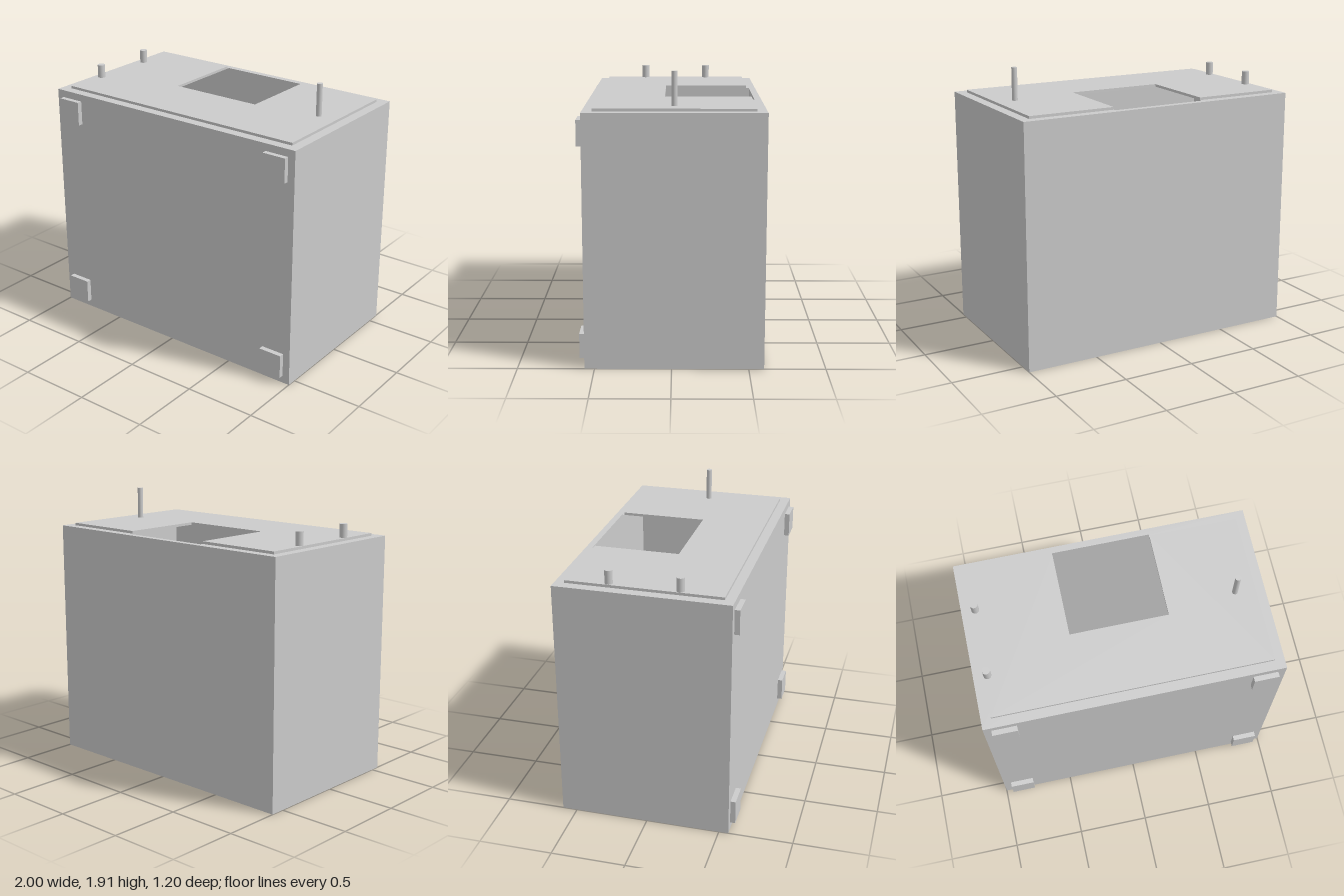
import * as THREE from 'three';

const W = 1, BACK = -0.6, FRONT = 0.565, TOP = 1.67, LID = 0.018;
const HOLE_W = 0.333, HOLE_BACK = -0.555, HOLE_FRONT = 0.05;

// Points given as [x, z]; drawn with -z so the shape can be laid flat facing up
const points = (list) => list.map(([x, z]) => new THREE.Vector2(x, -z));
const layFlat = (geometry, y) => geometry.rotateX(-Math.PI / 2).translate(0, y, 0);

export function createModel() {
  const model = new THREE.Group();
  const grey = new THREE.MeshStandardMaterial({ color: 0xcccccc });
  const shell = new THREE.MeshStandardMaterial({ color: 0xcccccc, side: THREE.DoubleSide });

  function add(name, geometry, material = grey) {
    const mesh = new THREE.Mesh(geometry, material);
    mesh.name = name;
    model.add(mesh);
    return mesh;
  }

  // Hollow, thin-walled case: a box without its top face
  const walls = new THREE.BoxGeometry(2 * W, TOP, FRONT - BACK);
  const index = Array.from(walls.index.array);
  index.splice(12, 6);
  walls.setIndex(index);
  walls.clearGroups();
  add('caseWalls', walls.translate(0, TOP / 2, (FRONT + BACK) / 2), shell);

  // Top panel with the rectangular opening
  const panel = new THREE.Shape(points([[-W, FRONT], [W, FRONT], [W, BACK], [-W, BACK]]));
  panel.holes.push(new THREE.Path(points([
    [-HOLE_W, HOLE_FRONT], [-HOLE_W, HOLE_BACK], [HOLE_W, HOLE_BACK], [HOLE_W, HOLE_FRONT],
  ])));
  add('topPanel', layFlat(new THREE.ShapeGeometry(panel), TOP), shell);

  // Raised lid plate, notched around the opening
  const lid = new THREE.Shape(points([
    [-0.933, 0.5], [0.933, 0.5], [0.933, -0.535], [HOLE_W, -0.535],
    [HOLE_W, HOLE_FRONT], [-HOLE_W, HOLE_FRONT], [-HOLE_W, -0.535], [-0.933, -0.535],
  ]));
  add('lidPlate', layFlat(new THREE.ExtrudeGeometry(lid, { depth: LID, bevelEnabled: false }), TOP));

  // Posts standing on the lid
  function post(name, x, z, radius, top) {
    const base = TOP + LID / 2;
    const geometry = new THREE.CylinderGeometry(radius, radius, top - base, 32);
    add(name, geometry).position.set(x, (top + base) / 2, z);
  }
  post('shortPostFront', -0.905, 0.215, 0.026, 1.78);
  post('shortPostBack', -0.905, -0.25, 0.026, 1.78);
  post('tallPost', 0.797, -0.017, 0.019, 1.91);

  // Square pads at the four corners of the front
  for (const x of [-0.865, 0.865]) {
    for (const y of [0.136, 1.536]) {
      add('frontPad', new THREE.BoxGeometry(0.167, 0.167, 0.035)).position.set(x, y, FRONT + 0.0175);
    }
  }
  return model;
}
